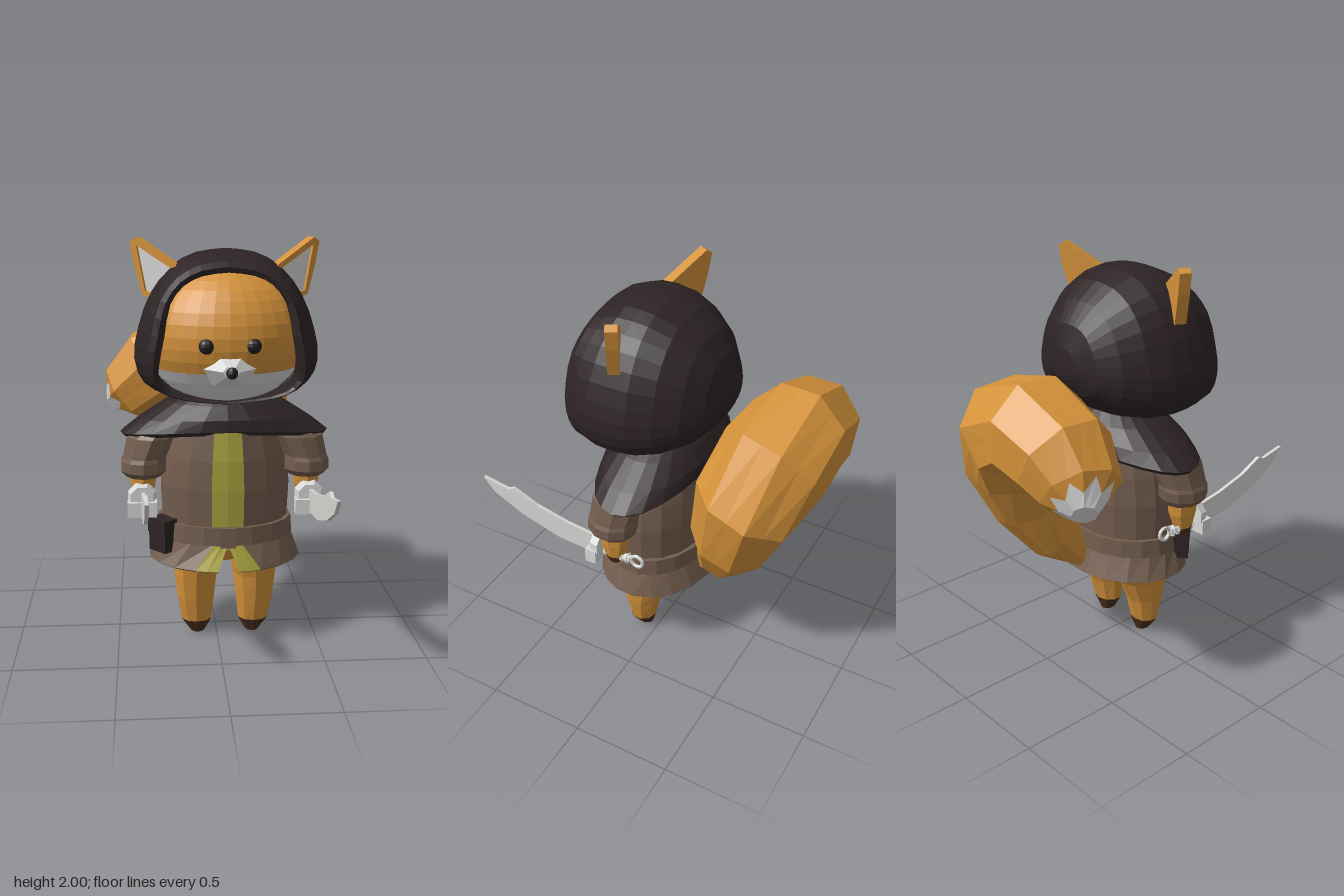
import * as THREE from 'three';

const flat = (color, name) => {
  const m = new THREE.MeshStandardMaterial({ color, flatShading: true, side: THREE.DoubleSide });
  m.name = name;
  return m;
};
const V = (x, y, z) => new THREE.Vector3(x, y, z);

export function createModel() {
  const orange = flat(0xd4923a, 'orange fur');
  const white = flat(0xd9d9d9, 'white fur');
  const dark = flat(0x2d2324, 'dark cloth');
  const brown = flat(0x735d4e, 'brown tunic');
  const yellow = flat(0xaba43f, 'yellow lining');
  const paw = flat(0x4c2d1e, 'dark paw');
  const black = flat(0x241e1f, 'eye and nose');
  const steel = flat(0xd7d7d4, 'steel');

  const model = new THREE.Group();
  model.name = 'foxAdventurer';
  const body = new THREE.Group();
  body.name = 'body';
  body.position.x = 0.043;
  model.add(body);

  const add = (parent, name, geometry, material, x = 0, y = 0, z = 0) => {
    const m = new THREE.Mesh(geometry, material);
    m.name = name;
    m.position.set(x, y, z);
    parent.add(m);
    return m;
  };

  // Skin a list of equal-length cross-sections
  const loft = (rings, closed = true) => {
    const n = rings[0].length, index = [];
    for (let i = 0; i < rings.length - 1; i++) {
      for (let j = 0; j < (closed ? n : n - 1); j++) {
        const k = (j + 1) % n, a = i * n + j, b = i * n + k;
        index.push(a, b, b + n, a, b + n, a + n);
      }
    }
    const g = new THREE.BufferGeometry().setFromPoints(rings.flat());
    g.setIndex(index);
    g.computeVertexNormals();
    return g;
  };

  // Horizontal elliptical cross-section, angle 0 facing the front
  const TAU = Math.PI * 2;
  const ring = (y, rx, rz, cx = 0, cz = 0.05, n = 10, a0 = 0, a1 = TAU) => {
    const open = a1 - a0 < 6.28;
    return Array.from({ length: n }, (_, j) => {
      const a = a0 + (a1 - a0) * j / (open ? n - 1 : n);
      return V(cx + rx * Math.sin(a), y, cz + rz * Math.cos(a));
    });
  };

  // Hood: outer and opening half-outlines blended from back to front
  const smooth = pts => new THREE.CatmullRomCurve3(pts.map(([x, y]) => V(x, y, 0))).getPoints(18);
  const outer = smooth([[0, 1.95], [0.14, 1.932], [0.265, 1.865], [0.36, 1.74], [0.42, 1.58],
    [0.442, 1.43], [0.4, 1.32], [0.28, 1.25], [0.14, 1.22], [0, 1.21]]);
  const opening = smooth([[0, 1.85], [0.12, 1.835], [0.21, 1.79], [0.27, 1.71], [0.3, 1.56],
    [0.325, 1.43], [0.325, 1.35], [0.27, 1.29], [0.14, 1.255], [0, 1.24]]);
  const hoodRows = [[-0.322, 0, 0], [-0.315, 0.2, 0], [-0.28, 0.46, 0], [-0.21, 0.69, 0],
    [-0.11, 0.87, 0], [0, 0.975, 0], [0.1, 1, 0], [0.2, 0.99, 0], [0.28, 0.96, 0.1],
    [0.34, 1, 0.5], [0.37, 1, 0.75], [0.35, 1, 1], [0.18, 1, 1]];
  const hoodRings = hoodRows.map(([z, s, t]) => {
    const half = outer.map((o, i) => {
      const p = o.clone().lerp(opening[i], t);
      const dy = (p.y - 1.52) * s;
      const rake = (dy > 0 ? 0.07 : 0.13) * (dy / 0.36) ** 2;
      return V(p.x * s, 1.52 + dy, z - rake * Math.max(0, z / 0.36));
    });
    const left = half.map(p => V(-p.x, p.y, p.z));
    return [...left, ...half.slice(1, -1).reverse()];
  });
  add(body, 'hood', loft(hoodRings), dark);

  // Face, a half ellipsoid split at the white jaw
  const split = 2.02;
  [['face', orange, 0, split], ['jaw', white, split, Math.PI - split]].forEach(([name, mat, t0, t1]) => {
    const g = new THREE.SphereGeometry(1, 16, name === 'face' ? 12 : 6, 0, Math.PI, t0, t1);
    add(body, name, g.scale(0.4, 0.345, 0.36), mat, 0, 1.54, 0.06);
  });
  const snout = new THREE.CylinderGeometry(0.04, 0.15, 0.12, 6).rotateY(Math.PI / 6);
  add(body, 'snout', snout.rotateX(Math.PI / 2).scale(1, 0.66, 1), white, 0, 1.417, 0.405);
  add(body, 'nose', new THREE.SphereGeometry(0.028, 8, 6), black, 0.003, 1.412, 0.464);

  // Cape with a thick, drooping rim
  const capeRow = (y, rx, rz, droop) => {
    const r = ring(y, rx, rz, 0, 0.03, 24);
    r.forEach(p => { p.y -= droop * (p.x / rx) ** 2; });
    return r;
  };
  add(body, 'cape', loft([capeRow(1.1, 0.3, 0.2, 0), capeRow(1.075, 0.5, 0.24, 0.045),
    capeRow(1.095, 0.52, 0.258, 0.045), capeRow(1.15, 0.43, 0.25, 0.03),
    capeRow(1.21, 0.29, 0.21, 0), capeRow(1.27, 0.17, 0.15, 0)]), dark);

  // Tunic body with a front stripe
  const torso = [[0.5, 0, 0], [0.5, 0.31, 0.235], [0.62, 0.318, 0.24], [0.8, 0.326, 0.25],
    [0.95, 0.308, 0.25], [1.1, 0.27, 0.235]];
  const torsoPart = (n, a0, a1) => loft(torso.map(([y, rx, rz]) => ring(y, rx, rz, 0, 0.05, n, a0, a1)), false);
  add(body, 'tunic', torsoPart(16, 0.245, TAU - 0.245), brown);
  add(body, 'tunicStripe', torsoPart(3, -0.245, 0.245), yellow);
  add(body, 'hips', loft([ring(0.41, 0, 0), ring(0.41, 0.1, 0.13), ring(0.53, 0.25, 0.225)]), orange);

  // Belt, buckle and pouch
  add(body, 'belt', loft([ring(0.53, 0.3, 0.23, 0, 0.05, 18), ring(0.53, 0.345, 0.262, 0, 0.05, 18),
    ring(0.62, 0.338, 0.258, 0, 0.05, 18), ring(0.62, 0.3, 0.23, 0, 0.05, 18)]), brown);
  add(body, 'buckle', new THREE.BoxGeometry(0.075, 0.1, 0.03), brown, 0, 0.573, 0.307);
  const pouch = new THREE.Group();
  pouch.name = 'pouch';
  pouch.position.set(-0.315, 0.56, 0.18);
  pouch.rotation.y = -0.85;
  body.add(pouch);
  add(pouch, 'pouchBag', new THREE.BoxGeometry(0.115, 0.15, 0.08), dark, 0, -0.01, 0);
  add(pouch, 'pouchFlap', new THREE.BoxGeometry(0.12, 0.07, 0.09), dark, 0, 0.045, 0);

  // Skirt, open at the front with turned lapels
  const hem = (n, low, high) => loft([ring(0.4, 0.365, 0.285, 0, 0.05, n, ...low),
    ring(0.412, 0.385, 0.303, 0, 0.05, n, ...low), ring(0.54, 0.335, 0.255, 0, 0.05, n, ...high)], false);
  add(body, 'skirt', hem(18, [0.43, TAU - 0.43], [0.2, TAU - 0.2]), brown);
  add(body, 'leftLapel', hem(3, [0.13, 0.43], [0, 0.2]), yellow);
  add(body, 'rightLapel', hem(3, [-0.43, -0.13], [-0.2, 0]), yellow);

  // Curved sword profile: x runs forward, y up
  const points = list => list.map(p => new THREE.Vector2(...p));
  const blade = new THREE.Shape(points([[0.17, 0.775], [0.35, 0.8], [0.53, 0.845], [0.66, 0.905], [0.7, 0.888],
    [0.84, 0.915], [0.78, 0.84], [0.62, 0.755], [0.4, 0.685], [0.17, 0.665]]));
  const earOutline = points([[-0.03, 1.86], [0.09, 1.93], [0.21, 2], [0.24, 1.98], [0.22, 1.88], [0.175, 1.73], [0.1, 1.71]]);
  const earInner = points([[0, 1.85], [0.1, 1.905], [0.205, 1.965], [0.16, 1.75], [0.1, 1.735]]);
  const extrude = (shape, depth) => new THREE.ExtrudeGeometry(shape, { depth, bevelEnabled: false });

  // Paired parts, mirrored across the body
  for (const [side, name] of [[1, 'left'], [-1, 'right']]) {
    const half = new THREE.Group();
    half.name = name + 'Side';
    half.scale.x = side;
    body.add(half);

    add(half, 'eye', new THREE.SphereGeometry(0.037, 10, 8), black, 0.108, 1.525, 0.395);

    const ear = new THREE.Group();
    ear.name = 'ear';
    ear.position.set(0.23, 0, 0.15);
    ear.rotation.y = 0.5;
    half.add(ear);
    const frame = new THREE.Shape(earOutline);
    frame.holes.push(new THREE.Path(earInner));
    add(ear, 'earBack', extrude(new THREE.Shape(earOutline), 0.035), orange, 0, 0, -0.025);
    add(ear, 'earFrame', extrude(frame, 0.02), orange, 0, 0, 0.01);
    add(ear, 'innerEar', extrude(new THREE.Shape(earInner), 0.005), white, 0, 0, 0.01);

    add(half, 'leg', loft([ring(0.07, 0.078, 0.068, 0.145, 0.085), ring(0.2, 0.098, 0.1, 0.15, 0.083),
      ring(0.32, 0.112, 0.14, 0.15, 0.068), ring(0.4, 0.124, 0.182, 0.143, 0.05),
      ring(0.52, 0.125, 0.19, 0.13, 0.05)]), orange);
    add(half, 'foot', loft([ring(0, 0, 0, 0.14, 0.08), ring(0, 0.035, 0.042, 0.14, 0.08),
      ring(0.07, 0.079, 0.069, 0.145, 0.085)]), paw);

    add(half, 'sleeve', loft([ring(0.87, 0.075, 0.085, 0.405, 0.09), ring(0.84, 0.09, 0.1, 0.405, 0.09),
      ring(0.87, 0.116, 0.125, 0.405, 0.095), ring(0.92, 0.115, 0.127, 0.405, 0.092),
      ring(0.94, 0.11, 0.122, 0.4, 0.09), ring(1.04, 0.13, 0.135, 0.36, 0.075),
      ring(1.12, 0.08, 0.11, 0.3, 0.065)]), brown);
    add(half, 'arm', loft([ring(0.7, 0.04, 0.05, 0.415, 0.085, 8), ring(0.78, 0.06, 0.075, 0.41, 0.085, 8),
      ring(0.9, 0.075, 0.085, 0.405, 0.09, 8)]), orange);
    add(half, 'hand', loft([ring(0.655, 0, 0, 0.415, 0.085, 8), ring(0.66, 0.025, 0.03, 0.415, 0.085, 8),
      ring(0.705, 0.042, 0.052, 0.415, 0.085, 8)]), paw);

    const sword = new THREE.Group();
    sword.name = 'sword';
    sword.position.x = 0.415;
    half.add(sword);
    // Both blades lean slightly to the same side
    add(sword, 'blade', extrude(blade, 0.018).rotateY(-Math.PI / 2), steel, 0.009).rotation.y = side * 0.028;
    const guard = new THREE.CylinderGeometry(0.06, 0.075, 0.05, 8).rotateY(Math.PI / 8).rotateX(Math.PI / 2);
    add(sword, 'guard', guard, white, 0, 0.745, 0.17);
    add(sword, 'knuckleGuard', new THREE.BoxGeometry(0.145, 0.075, 0.06), white, 0, 0.692, 0.185);
    add(sword, 'grip', new THREE.CylinderGeometry(0.02, 0.02, 0.17, 8).rotateX(Math.PI / 2), steel, 0, 0.7, 0.08);
    for (let i = 0; i < 5; i++) {
      add(sword, 'gripBand', new THREE.TorusGeometry(0.024, 0.007, 5, 8), steel, 0, 0.7, 0.01 + i * 0.03);
    }
    add(sword, 'pommelRing', new THREE.TorusGeometry(0.032, 0.009, 6, 14).rotateY(Math.PI / 2), white, 0, 0.7, -0.04);
  }

  // Tail: cross-sections x, y, z, radius along an arch
  const path = [[0.01, 0.44, -0.2, 0.035], [0.06, 0.6, -0.33, 0.135], [0.13, 0.81, -0.415, 0.21],
    [0.145, 1.06, -0.495, 0.265], [0.03, 1.26, -0.57, 0.275], [-0.15, 1.315, -0.595, 0.26],
    [-0.35, 1.245, -0.6, 0.24], [-0.48, 1.13, -0.615, 0.19], [-0.57, 1.07, -0.675, 0.06], [-0.57, 1.07, -0.675, 0]];
  const at = i => V(...path[Math.min(Math.max(i, 0), 8)]);
  const tailRings = path.map(([x, y, z, r], i) => {
    const T = at(i + 1).sub(at(i - 1)).normalize();
    const N = V(0, 0, 1).addScaledVector(T, -T.z).normalize();
    const B = T.clone().cross(N);
    return Array.from({ length: 8 }, (_, j) => {
      const a = (j + 0.5) / 8 * TAU;
      return V(x, y, z).addScaledVector(N, r * Math.cos(a)).addScaledVector(B, r * Math.sin(a));
    });
  });
  // Jagged border between the orange fur and the white tip
  const doubled = r => r.flatMap((p, j) => [p, p.clone().lerp(r[(j + 1) % 8], 0.5)]);
  const [before, after] = [tailRings[7], tailRings[8]].map(doubled);
  const border = before.map((p, j) => p.clone().lerp(after[j], j % 2 ? 0.15 : 0.6));
  add(body, 'tail', loft([...tailRings.slice(0, 8).map(doubled), border]), orange);
  add(body, 'tailTip', loft([border, ...tailRings.slice(8).map(doubled)]), white);

  return model;
}
